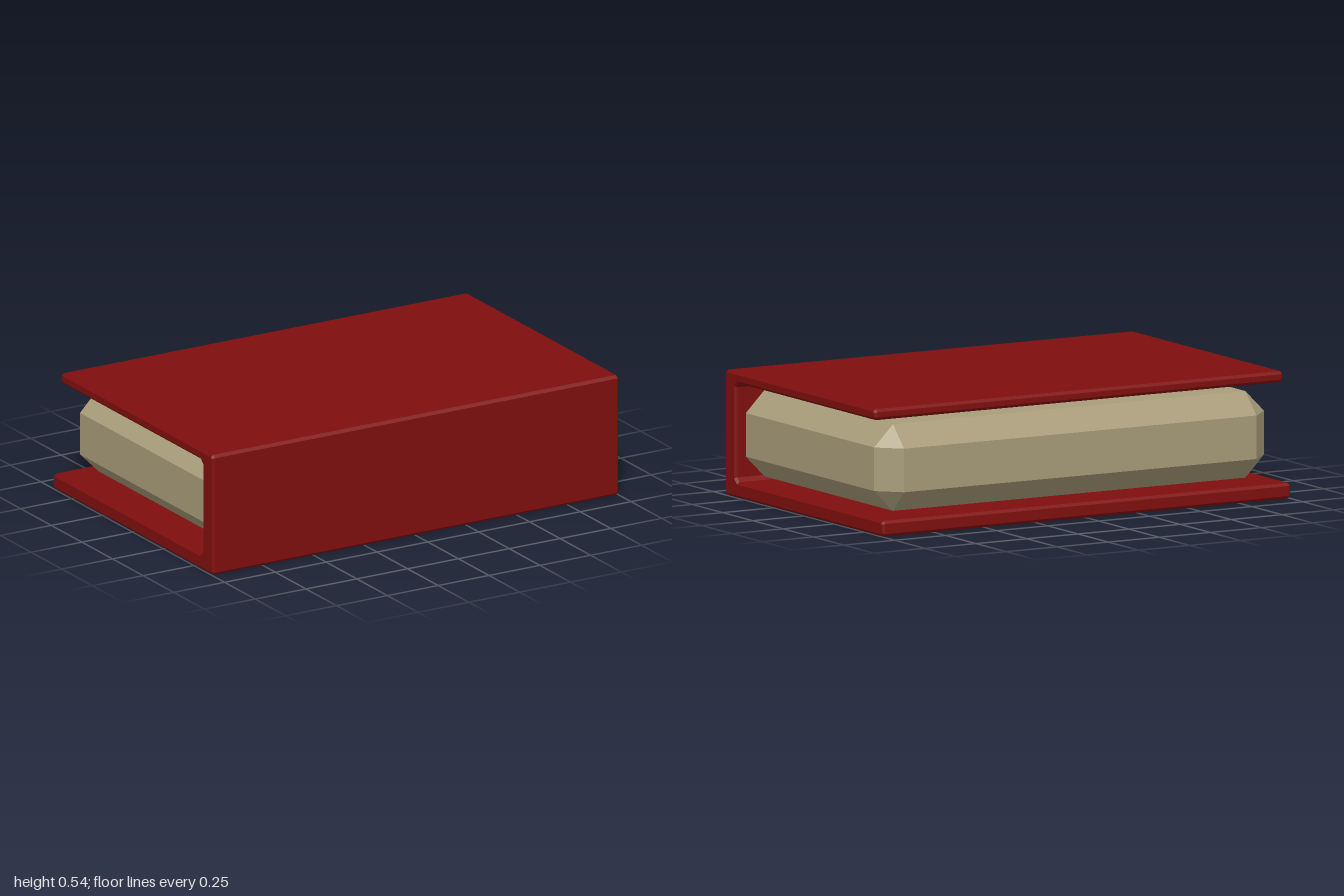
import * as THREE from 'three';
import { ConvexGeometry } from 'three/addons/geometries/ConvexGeometry.js';

// Box with every edge cut at 45 degrees; w, h, d are full sizes, c is the cut
function chamferedBox(w, h, d, c) {
  const points = [];
  for (const sx of [-1, 1]) for (const sy of [-1, 1]) for (const sz of [-1, 1]) {
    for (const [ox, oy, oz] of [[0, c, c], [c, 0, c], [c, c, 0]]) {
      points.push(new THREE.Vector3(sx * (w / 2 - ox), sy * (h / 2 - oy), sz * (d / 2 - oz)));
    }
  }
  return new ConvexGeometry(points);
}

// Polygon whose corners are each cut by their own amount: [x, y, cut]
function chamferedShape(corners) {
  const points = [];
  corners.forEach(([x, y, cut], i) => {
    const p = new THREE.Vector2(x, y);
    for (const step of [-1, 1]) {
      const [nx, ny] = corners[(i + step + corners.length) % corners.length];
      points.push(new THREE.Vector2(nx, ny).sub(p).setLength(cut).add(p));
    }
  });
  return new THREE.Shape(points);
}

export function createModel() {
  const book = new THREE.Group();
  book.name = 'book';

  // Cover: a C-shaped section (z, y) run along x, with a longer bottom board
  const bevel = 0.01;
  const section = chamferedShape([
    [-0.655, 0, 0.012], [0.655, 0, 0.012], [0.655, 0.535, 0.012], [-0.59, 0.535, 0.012],
    [-0.59, 0.488, 0.012], [0.567, 0.488, 0.018], [0.567, 0.067, 0.018], [-0.655, 0.067, 0.012],
  ]);
  const coverGeometry = new THREE.ExtrudeGeometry(section, {
    depth: 2 - 2 * bevel, bevelEnabled: true, bevelSegments: 1,
    bevelThickness: bevel, bevelSize: bevel, bevelOffset: -bevel,
  });
  coverGeometry.translate(0, 0, -(1 - bevel)).rotateY(-Math.PI / 2);
  const cover = new THREE.Mesh(coverGeometry,
    new THREE.MeshStandardMaterial({ color: 0x800e0e, flatShading: true }));
  cover.name = 'cover';

  // Page block, set into the spine
  const pages = new THREE.Mesh(chamferedBox(1.91, 0.37, 1.245, 0.092),
    new THREE.MeshStandardMaterial({ color: 0xa89c7a, flatShading: true }));
  pages.name = 'pages';
  pages.position.set(0.015, 0.27, 0);

  book.add(cover, pages);
  return book;
}
